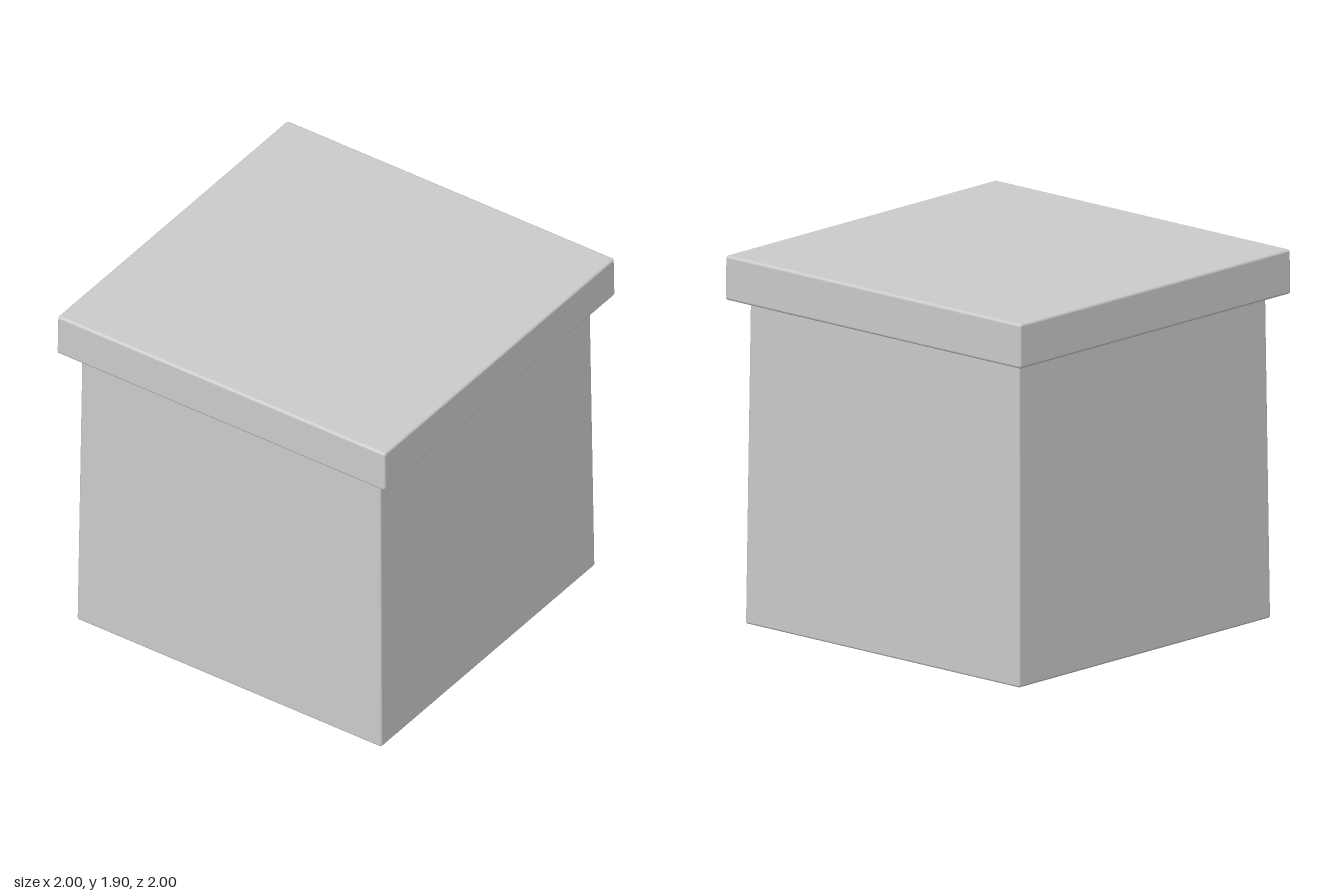
import * as THREE from 'three';
import { RoundedBoxGeometry } from 'three/addons/geometries/RoundedBoxGeometry.js';

const material = new THREE.MeshStandardMaterial({ color: 0xcccccc });

// Square block with softened edges, tapering from bottomWidth to topWidth
function taperedBlock(name, bottomWidth, topWidth, y0, y1, radius) {
  const height = y1 - y0;
  const geometry = new RoundedBoxGeometry(bottomWidth, height, bottomWidth, 2, radius);
  geometry.translate(0, height / 2, 0);
  const pos = geometry.attributes.position;
  for (let i = 0; i < pos.count; i++) {
    const s = THREE.MathUtils.lerp(1, topWidth / bottomWidth, pos.getY(i) / height);
    pos.setX(i, pos.getX(i) * s);
    pos.setZ(i, pos.getZ(i) * s);
  }
  const mesh = new THREE.Mesh(geometry, material);
  mesh.name = name;
  mesh.position.y = y0;
  return mesh;
}

export function createModel() {
  const model = new THREE.Group();
  model.name = 'liddedBox';

  // Body narrows slightly upward and tucks just inside the lid
  model.add(taperedBlock('body', 1.855, 1.82, 0, 1.69, 0.012));

  // Overhanging lid
  model.add(taperedBlock('lid', 2, 1.995, 1.67, 1.9, 0.015));

  return model;
}
